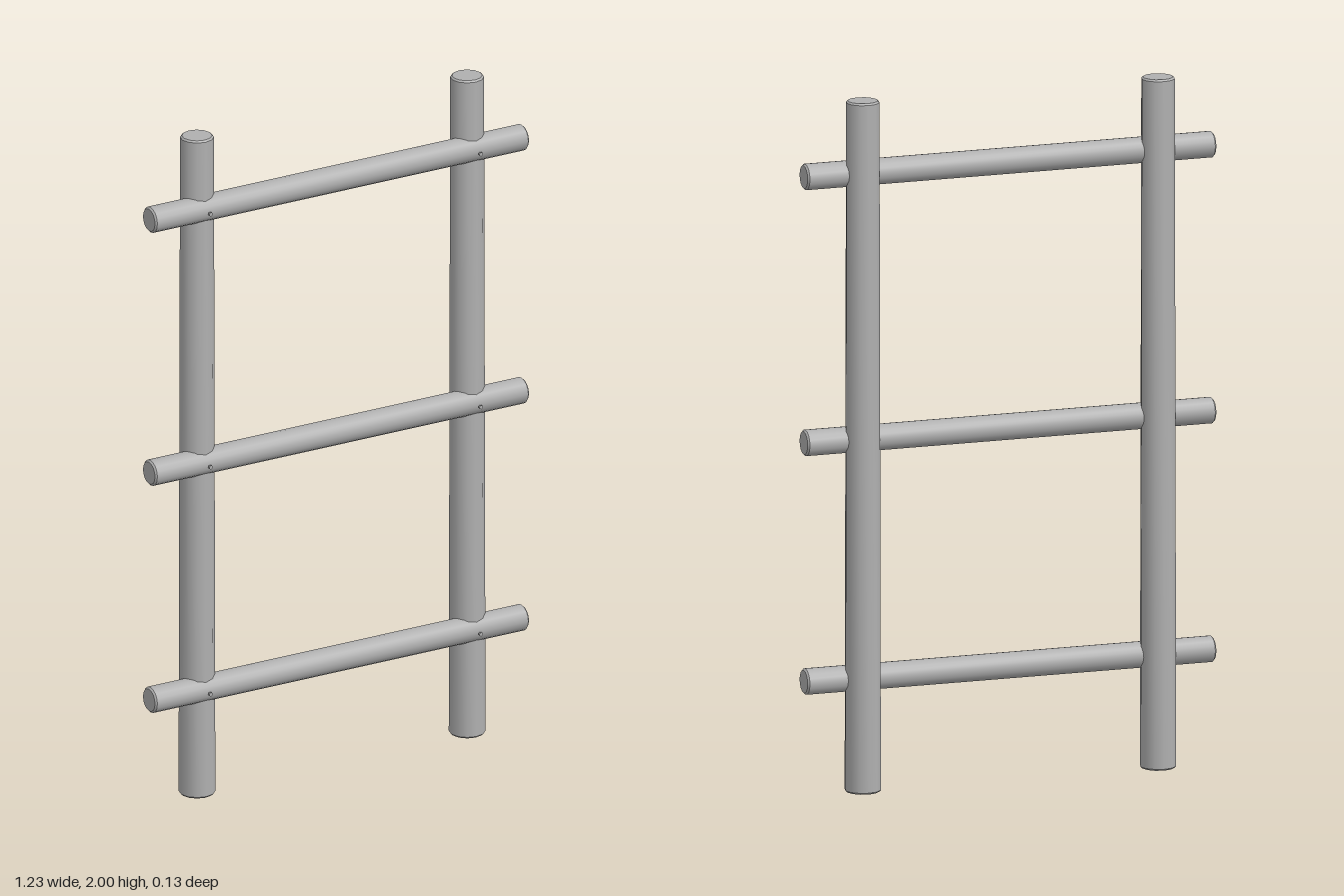
import * as THREE from 'three';
import { toCreasedNormals } from 'three/addons/utils/BufferGeometryUtils.js';

// Round log along y, slightly tapered, with a small chamfer at both ends
function log(length, bottomRadius, topRadius, sides) {
  const h = length / 2, c = 0.005;
  const profile = [
    [0, -h], [bottomRadius - c, -h], [bottomRadius, -h + c],
    [topRadius, h - c], [topRadius - c, h], [0, h],
  ].map(([x, y]) => new THREE.Vector2(x, y));
  return toCreasedNormals(new THREE.LatheGeometry(profile, sides), 0.65);
}

export function createModel() {
  const model = new THREE.Group();
  const wood = new THREE.MeshStandardMaterial({ color: 0xb0b0b0 });
  wood.name = 'greyWood';

  const add = (name, geometry, x, y, z) => {
    const mesh = new THREE.Mesh(geometry, wood);
    mesh.name = name;
    mesh.position.set(x, y, z);
    model.add(mesh);
  };

  const postX = 0.445;
  const post = log(2, 0.052, 0.048, 12);
  const rail = log(1.232, 0.038, 0.038, 16).rotateZ(Math.PI / 2);
  const nail = new THREE.CylinderGeometry(0.006, 0.006, 0.006, 8).rotateX(Math.PI / 2);

  // Two upright posts
  add('leftPost', post, postX, 1, -0.013);
  add('rightPost', post, -postX, 1, -0.013);

  // Three crossbars with a nail head in front of each joint
  [['lower', 0.325], ['middle', 1.016], ['upper', 1.786]].forEach(([level, y]) => {
    add(level + 'Rail', rail, -0.002, y, 0.012);
    add(level + 'LeftNail', nail, postX - 0.001, y, 0.063);
    add(level + 'RightNail', nail, -postX - 0.001, y, 0.063);
  });

  return model;
}
